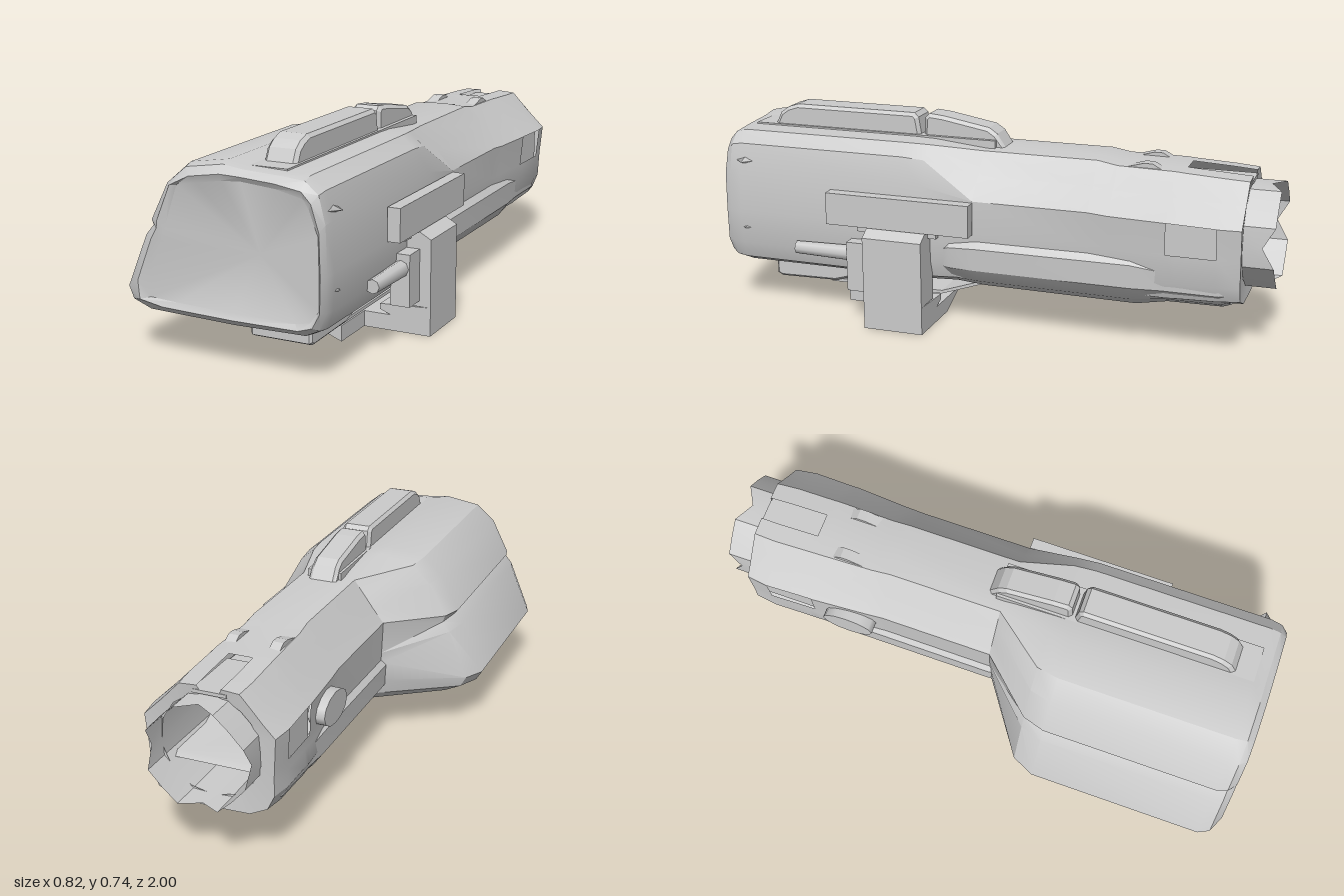
import * as THREE from 'three';
import { toCreasedNormals } from 'three/addons/utils/BufferGeometryUtils.js';

const material = new THREE.MeshStandardMaterial({ color: 0xcccccc, side: THREE.DoubleSide });

// Front face, housing and barrel outlines, counterclockwise from the bottom, with matching points
const FACE = [[0, .2], [.22, .2], [.27, .21], [.3, .25], [.302, .36], [.3, .48], [.27, .56], [.25, .59],
  [.16, .61], [.04, .62], [-.03, .615], [-.12, .6], [-.19, .585], [-.23, .47], [-.24, .44], [-.255, .4],
  [-.295, .29], [-.3, .21], [-.2, .205]];
const HOUSING = [[0, .15], [.25, .155], [.3, .18], [.32, .24], [.325, .36], [.32, .52], [.3, .61], [.25, .65],
  [.16, .655], [.04, .66], [-.03, .672], [-.17, .65], [-.24, .585], [-.308, .458], [-.298, .445], [-.33, .41],
  [-.411, .22], [-.39, .185], [-.33, .157]];
const BARREL = [[.1, .15], [.22, .155], [.29, .19], [.31, .25], [.315, .36], [.325, .48], [.26, .555], [.2, .63],
  [.14, .635], [.06, .635], [0, .63], [-.037, .58], [-.073, .53], [-.113, .48], [-.107, .36], [-.105, .32],
  [-.105, .25], [-.08, .19], [-.02, .155]];

const mix = (from, to, t) => from.map(([x, y], i) => [x + (to[i][0] - x) * t, y + (to[i][1] - y) * t]);
const scaled = (pts, sx, sy, cx = .105, cy = .39) => pts.map(([x, y]) => [cx + (x - cx) * sx, cy + (y - cy) * sy]);
// Pulls an outline onto a circle around the muzzle axis
const rounded = (pts, r) => pts.map(([x, y]) => {
  const a = Math.atan2(y - .4, x - .105);
  return [.105 + Math.cos(a) * r, .4 + Math.sin(a) * r];
});

// Skins rings of [z, points]; skip(i, j) leaves a quad open, front and back are cap centres
function loft(name, rings, { crease = .45, skip = () => false, front = null, back = null } = {}) {
  const n = rings[0][1].length, pos = [], idx = [];
  for (const [z, pts] of rings) pts.forEach(([x, y, dz = 0]) => pos.push(x, y, z + dz));
  for (let i = 0; i < rings.length - 1; i++) for (let j = 0; j < n; j++) {
    if (skip(i, j)) continue;
    const a = i * n + j, b = i * n + (j + 1) % n;
    idx.push(a, a + n, b, b, a + n, b + n);
  }
  const cap = (centre, start, flip) => {
    const c = pos.length / 3;
    pos.push(...centre);
    for (let j = 0; j < n; j++) {
      const a = start + j, b = start + (j + 1) % n;
      idx.push(c, flip ? b : a, flip ? a : b);
    }
  };
  if (front) cap(front, 0, false);
  if (back) cap(back, (rings.length - 1) * n, true);
  const g = new THREE.BufferGeometry();
  g.setAttribute('position', new THREE.Float32BufferAttribute(pos, 3));
  g.setIndex(idx);
  return part(name, toCreasedNormals(g, crease));
}

function part(name, geometry) {
  const mesh = new THREE.Mesh(geometry, material);
  mesh.name = name;
  return mesh;
}

const outline = (pts) => new THREE.Shape(pts.map(([a, b]) => new THREE.Vector2(a, b)));

// Prism from an (x, y) outline, running from z0 to z1
function prismZ(name, pts, z0, z1) {
  const g = new THREE.ExtrudeGeometry(outline(pts), { depth: z1 - z0, bevelEnabled: false });
  return part(name, g.translate(0, 0, z0));
}

// Prism from a (z, y) outline, running from x0 to x1, with optional bevel
function prismX(name, pts, x0, x1, bevel = 0) {
  const g = new THREE.ExtrudeGeometry(outline(pts), {
    depth: x1 - x0 - 2 * bevel, bevelEnabled: bevel > 0, bevelSize: bevel, bevelOffset: -bevel,
    bevelThickness: bevel, bevelSegments: 1 });
  return part(name, g.rotateY(-Math.PI / 2).translate(x1 - bevel, 0, 0));
}

function box(name, x0, x1, y0, y1, z0, z1) {
  const g = new THREE.BoxGeometry(x1 - x0, y1 - y0, z1 - z0);
  return part(name, g.translate((x0 + x1) / 2, (y0 + y1) / 2, (z0 + z1) / 2));
}

export function createModel() {
  const model = new THREE.Group();

  // Main shell: bevelled front face, grooved housing, slanted shoulder, slotted barrel shroud
  model.add(loft('mainShell', [
    [.985, FACE], [.995, mix(FACE, HOUSING, .4)], [.97, mix(FACE, HOUSING, .85)], [.93, HOUSING], [.3, HOUSING],
    [.22, mix(BARREL, HOUSING, .88)], [.03, BARREL], [-.38, BARREL], [-.45, scaled(BARREL, 1.02, .95)],
    [-.65, scaled(BARREL, 1.08, .94)], [-.68, scaled(BARREL, 1.08, .93)],
    [-.82, scaled(BARREL, 1.1, .9)], [-.9, scaled(BARREL, 1.05, .88)], [-.895, rounded(BARREL, .178)],
  ], {
    front: [.1, .4, .98],
    skip: (i, j) => (j === 8 && i >= 10) || ((j === 4 || j === 13) && (i === 9 || i === 10)),
  }));

  // Floors behind the three shroud slots
  model.add(box('topSlotFloor', .04, .16, .578, .59, -.9, -.66));
  model.add(box('leftSlotFloor', .29, .32, .34, .49, -.85, -.63));
  model.add(box('rightSlotFloor', -.11, -.08, .34, .49, -.85, -.63));

  // Deep open muzzle liner: sixteen sides, rim notched at the four middles
  const liner = (r, notch) => Array.from({ length: 16 }, (_, i) => {
    const a = i / 16 * Math.PI * 2, k = i % 4 === 0 ? .98 : i % 4 === 2 ? .97 : 1.03;
    return [.105 + Math.cos(a) * r * k, .4 + Math.sin(a) * r * k, i % 4 === 0 ? notch : 0];
  });
  model.add(loft('muzzleLiner', [[0, liner(.165, 0)], [-.9, liner(.178, 0)], [-1, liner(.178, .04)]],
    { crease: .3, front: [.105, .4, 0] }));

  // Lower fairing: a bowl-shaped cover under the barrel with a step near the muzzle
  const BOWL = [[.1, .14], [.22, .142], [.29, .18], [.328, .23], [.332, .31], [.308, .34],
    [-.098, .34], [-.122, .31], [-.118, .23], [-.08, .18], [-.02, .142]];
  const bowl = (sx, sy) => scaled(BOWL, sx, sy, .105, .24);
  model.add(loft('lowerFairing', [[.16, bowl(.9, .7)], [.12, bowl(.98, .93)], [.02, bowl(1, 1)],
    [-.53, bowl(1, 1.03)], [-.64, bowl(.97, .83)], [-.83, bowl(.97, .8)], [-.86, bowl(.92, .7)]],
    { front: [.105, .24, .16] }));

  // Two-piece top rail
  model.add(prismX('frontTopRail', [[.87, .63], [.86, .66], [.84, .7], [.81, .722], [.77, .735], [.31, .735],
    [.295, .72], [.28, .63]], .045, .16, .012));
  model.add(prismX('rearTopRail', [[.275, .63], [.27, .72], [.255, .735], [.2, .73], [.03, .7], [0, .68],
    [-.04, .62]], .05, .155, .012));
  model.add(box('topRailBase', .04, .17, .6, .66, 0, .93));

  // Small fins on top of the barrel
  for (const x of [.02, .18]) model.add(prismX('topFin', [[-.42, .6], [-.54, .633], [-.57, .633], [-.63, .6]],
    x - .02, x + .02));

  // Round boss on the right flank of the barrel
  const boss = new THREE.CylinderGeometry(.095, .095, .06, 12).rotateZ(Math.PI / 2).scale(1, .6, 1);
  model.add(part('sideBoss', boss.translate(-.125, .4, -.505)));

  // Left flank: rail, grip, plate and peg
  model.add(box('sideRail', .325, .37, .36, .475, .03, .565));
  model.add(box('sideRailLip', .31, .34, .335, .36, .16, .46));
  model.add(prismZ('grip', [[.3, .1], [.41, .1], [.41, .335], [.37, .358], [.3, .358]], .19, .41));
  model.add(box('gripPlate', .3, .37, .12, .3, .41, .49));
  const peg = new THREE.CylinderGeometry(.03, .024, .25, 8).rotateX(-Math.PI / 2);
  model.add(part('peg', peg.translate(.337, .25, .575)));

  // Foot below the grip: outer wedge, slanted bar and a short toe at the inner end
  model.add(prismZ('footWedge', [[.225, .07], [.41, 0], [.41, .1], [.225, .09]], .19, .41));
  model.add(prismZ('footBar', [[.025, .055], [.165, 0], [.41, 0], [.27, .055]], .19, .41));
  model.add(prismZ('footToe', [[.025, .075], [.025, .055], [.165, 0], [.165, .055], [.06, .055]], .41, .58));

  // Underside block and the strap running back from it
  model.add(prismX('underBlock', [[.86, .16], [.86, .09], [.84, .08], [.62, .085], [.5, .12], [.47, .16]],
    -.015, .205, .008));
  model.add(prismX('underStrap', [[.64, .078], [.2, .078], [.02, .14], [.02, .152], [.2, .09], [.64, .09]],
    .02, .19));

  // Small pointed lugs around the front rim
  for (const [y, tip] of [[.55, .345], [.3, .335]]) {
    const lug = new THREE.ConeGeometry(.022, tip - .28, 4).rotateZ(-Math.PI / 2).scale(1, 1, 3);
    model.add(part('frontLug', lug.translate((tip + .28) / 2, y, .91)));
  }

  return model;
}
